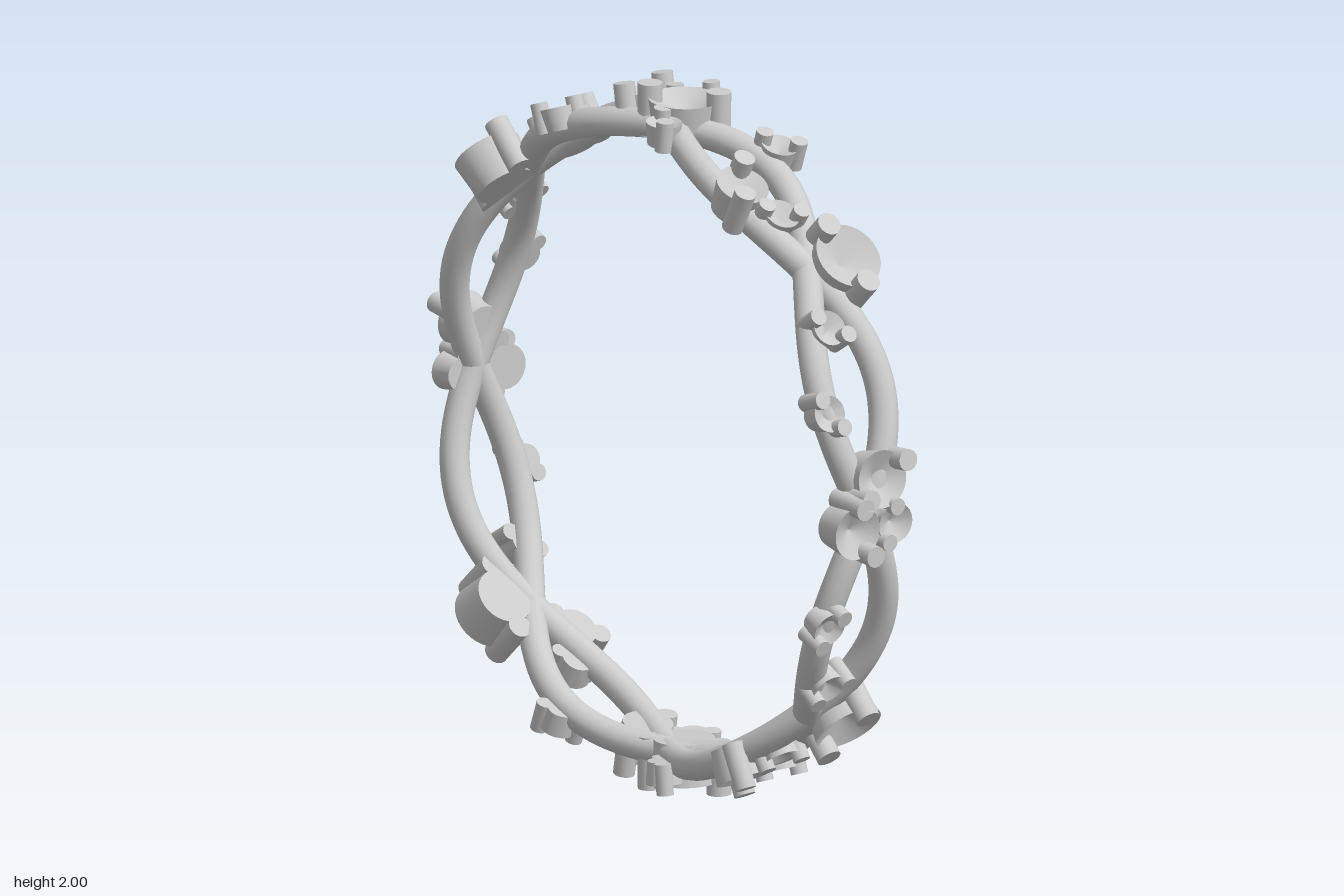
import * as THREE from 'three';
import { toCreasedNormals } from 'three/addons/utils/BufferGeometryUtils.js';

const RING = 0.887, WAVE = 0.1, SHIFT = -0.01;
const rad = THREE.MathUtils.degToRad;
const material = new THREE.MeshStandardMaterial({ color: 0xcccccc });

// Strand weaving from side to side, four full waves around the ring
class StrandCurve extends THREE.Curve {
  constructor(sign) {
    super();
    this.sign = sign;
  }
  getPoint(t, target = new THREE.Vector3()) {
    const a = t * Math.PI * 2;
    return target.set(
      SHIFT + this.sign * WAVE * Math.sin(4 * a),
      1 + RING * Math.sin(a),
      RING * Math.cos(a)
    );
  }
}

// Empty stone seat: tapered cup with a conical hollow, held by two prongs.
// angle runs from the front (0) over the top (90); prong angles go round the cup.
function createSetting(x, angle, radius, prongAngles) {
  const [base, rim, tip, prongRadius] =
    radius > 0.088 ? [0.85, 0.965, 0.998, 0.034]
      : radius > 0.06 ? [0.86, 0.955, 0.99, 0.03]
        : [0.878, 0.942, 0.964, 0.024];
  const group = new THREE.Group();
  group.name = 'stoneSetting';
  group.position.set(x, 1, 0);
  group.rotation.x = rad(90 - angle);

  const profile = [
    [0, base], [radius * 0.84, base], [radius, rim], [0, rim - radius * 0.6]
  ].map(([r, h]) => new THREE.Vector2(r, h));
  const cup = new THREE.Mesh(
    toCreasedNormals(new THREE.LatheGeometry(profile, 32), rad(30)), material);
  cup.name = 'cup';
  group.add(cup);

  const length = tip - base;
  for (const a of prongAngles) {
    const prong = new THREE.Mesh(
      new THREE.CylinderGeometry(prongRadius, prongRadius, length, 16), material);
    prong.name = 'prong';
    prong.position.set(
      Math.cos(rad(a)) * radius, base + length / 2, Math.sin(rad(a)) * radius);
    group.add(prong);
  }
  return group;
}

// Settings on the upper half, repeated below: x, angle, radius, prong angles
const UPPER = [
  [-0.13, 19, 0.05, [-125, 60]],
  [-0.055, 33, 0.05, [-140, 40]],
  [0.08, 44, 0.097, [90, -112]],
  [-0.03, 55, 0.05, [-150, 20]],
  [-0.095, 62, 0.074, [-60, 125]],
  [0.125, 70, 0.05, [30, -120]],
  [-0.1, 84, 0.05, [-60, 125]],
  [0.025, 88.5, 0.1, [60, -125]],
  [0.135, 95, 0.05, [20, -140]],
  [0.03, 100, 0.083, [165, -15]],
  [-0.135, 111, 0.05, [-130, 50]],
  [0.03, 122, 0.053, [0, -130]],
  [0.07, 128, 0.072, [30, -120]],
  [-0.1, 137, 0.097, [-85, 90]],
  [0.055, 147, 0.05, [40, -140]],
  [0.13, 161, 0.05, [55, -120]]
];

// Cluster at the front, turned half round for the back
const CLUSTER = [
  [0.005, 6.7, 0.08, [145, -35]],
  [-0.083, -1.5, 0.075, [-90, 60]],
  [0.055, -1.5, 0.056, [127, -100]]
];

export function createModel() {
  const model = new THREE.Group();
  model.name = 'twistedRing';

  // Two interwoven strands
  for (const sign of [1, -1]) {
    const strand = new THREE.Mesh(
      new THREE.TubeGeometry(new StrandCurve(sign), 240, 0.041, 16, true), material);
    strand.name = 'strand';
    model.add(strand);
  }

  // Settings scattered around the strands
  for (const [x, angle, radius, prongs] of UPPER) {
    model.add(createSetting(x, angle, radius, prongs));
    model.add(createSetting(x, -angle, radius, prongs.map((a) => -a)));
  }
  for (const [x, angle, radius, prongs] of CLUSTER) {
    model.add(createSetting(x, angle, radius, prongs));
    model.add(createSetting(-x, 180 - angle, radius, prongs.map((a) => a + 180)));
  }
  return model;
}
